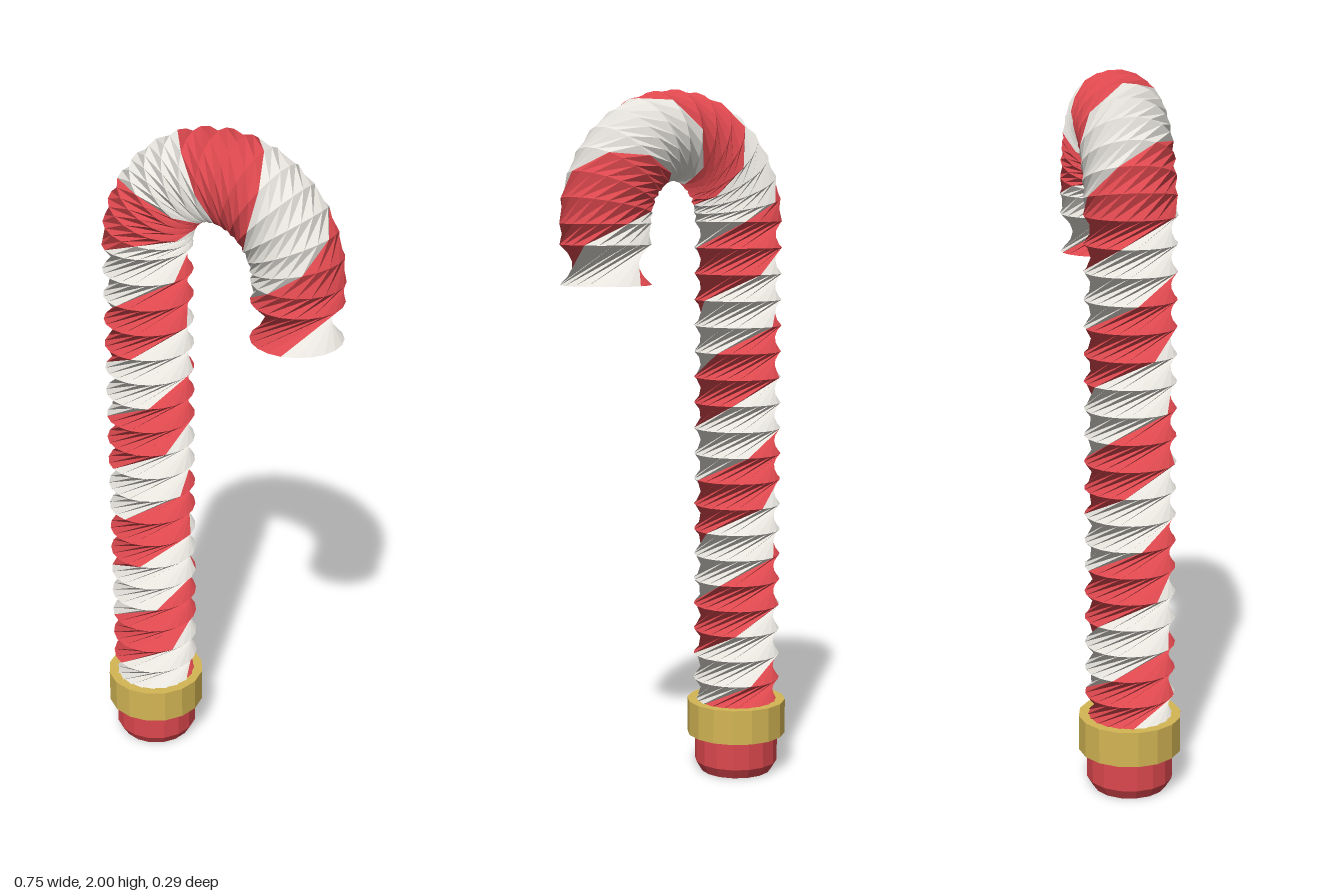
import * as THREE from 'three';

const mat = (name, color) => {
  const m = new THREE.MeshStandardMaterial({ color, flatShading: true });
  m.name = name;
  return m;
};

const SHAFT_X = -0.234, HOOK_R = 0.24, HOOK_Y = 1.632, TUBE_R = 0.127;
const CENTER_X = SHAFT_X + HOOK_R, ARC = Math.PI * HOOK_R, SIDES = 20;

// Centre line by length s: below 0 is the shaft, 0..ARC the hook, above that the tip
function frameAt(s) {
  const a = THREE.MathUtils.clamp(s / HOOK_R, 0, Math.PI);
  const outward = new THREE.Vector3(-Math.cos(a), Math.sin(a), 0);
  const centre = outward.clone().multiplyScalar(HOOK_R).add(new THREE.Vector3(CENTER_X, HOOK_Y, 0));
  if (s < 0) centre.y += s;
  if (s > ARC) centre.y -= s - ARC;
  return { centre, outward };
}

// Helix angle of the stripes, a little looser past the crown
const twistAt = (s) => (s - 0.37) / (s < 0.37 ? 0.34 : 0.375) * Math.PI * 2;

function ringAt(s) {
  const { centre, outward } = frameAt(s);
  return Array.from({ length: SIDES }, (_, j) => {
    const a = twistAt(s) - Math.PI / 2 + (j / SIDES) * Math.PI * 2;
    return centre.clone()
      .addScaledVector(outward, Math.cos(a) * TUBE_R)
      .add(new THREE.Vector3(0, 0, Math.sin(a) * TUBE_R));
  });
}

// One stripe: half of the facets between twisted rings
function stripe(rings, from, to, material, name) {
  const pts = [];
  for (let i = 0; i < rings.length - 1; i++) {
    for (let j = from; j < to; j++) {
      const k = (j + 1) % SIDES;
      const a = rings[i][j], b = rings[i][k], c = rings[i + 1][j], d = rings[i + 1][k];
      pts.push(a, b, c, b, d, c);
    }
  }
  const geo = new THREE.BufferGeometry().setFromPoints(pts);
  geo.computeVertexNormals();
  const mesh = new THREE.Mesh(geo, material);
  mesh.name = name;
  return mesh;
}

export function createModel() {
  const red = mat('candy red', 0xdc484e);
  const white = mat('candy white', 0xe6e3dd);
  const gold = mat('gold', 0xd4b655);
  const group = new THREE.Group();
  group.name = 'candyCane';

  const add = (geo, material, name, x, y) => {
    const mesh = new THREE.Mesh(geo, material);
    mesh.name = name;
    mesh.position.set(x, y, 0);
    group.add(mesh);
    return mesh;
  };

  // Ring positions along the shaft, hook and tip
  const stops = [];
  const shaftLength = HOOK_Y - 0.132;
  for (let i = 0; i < 20; i++) stops.push(-shaftLength * (1 - i / 20));
  for (let i = 0; i <= 16; i++) stops.push(ARC * i / 16);
  stops.push(ARC + 0.057, ARC + 0.167);
  const rings = stops.map(ringAt);

  group.add(stripe(rings, 0, SIDES / 2, red, 'redStripe'));
  group.add(stripe(rings, SIDES / 2, SIDES, white, 'whiteStripe'));

  // Flat disc closing the tip
  const tip = frameAt(stops[stops.length - 1]).centre;
  add(new THREE.CircleGeometry(TUBE_R, SIDES), white, 'tipCap', tip.x, tip.y).rotation.x = Math.PI / 2;

  // Foot with a bevelled lower edge, and the collar above it
  add(new THREE.CylinderGeometry(0.123, 0.105, 0.03, 16), red, 'footBevel', SHAFT_X, 0.015);
  add(new THREE.CylinderGeometry(0.123, 0.123, 0.11, 16), red, 'foot', SHAFT_X, 0.085);
  add(new THREE.CylinderGeometry(0.146, 0.146, 0.102, 16), gold, 'collar', SHAFT_X, 0.165);

  return group;
}
